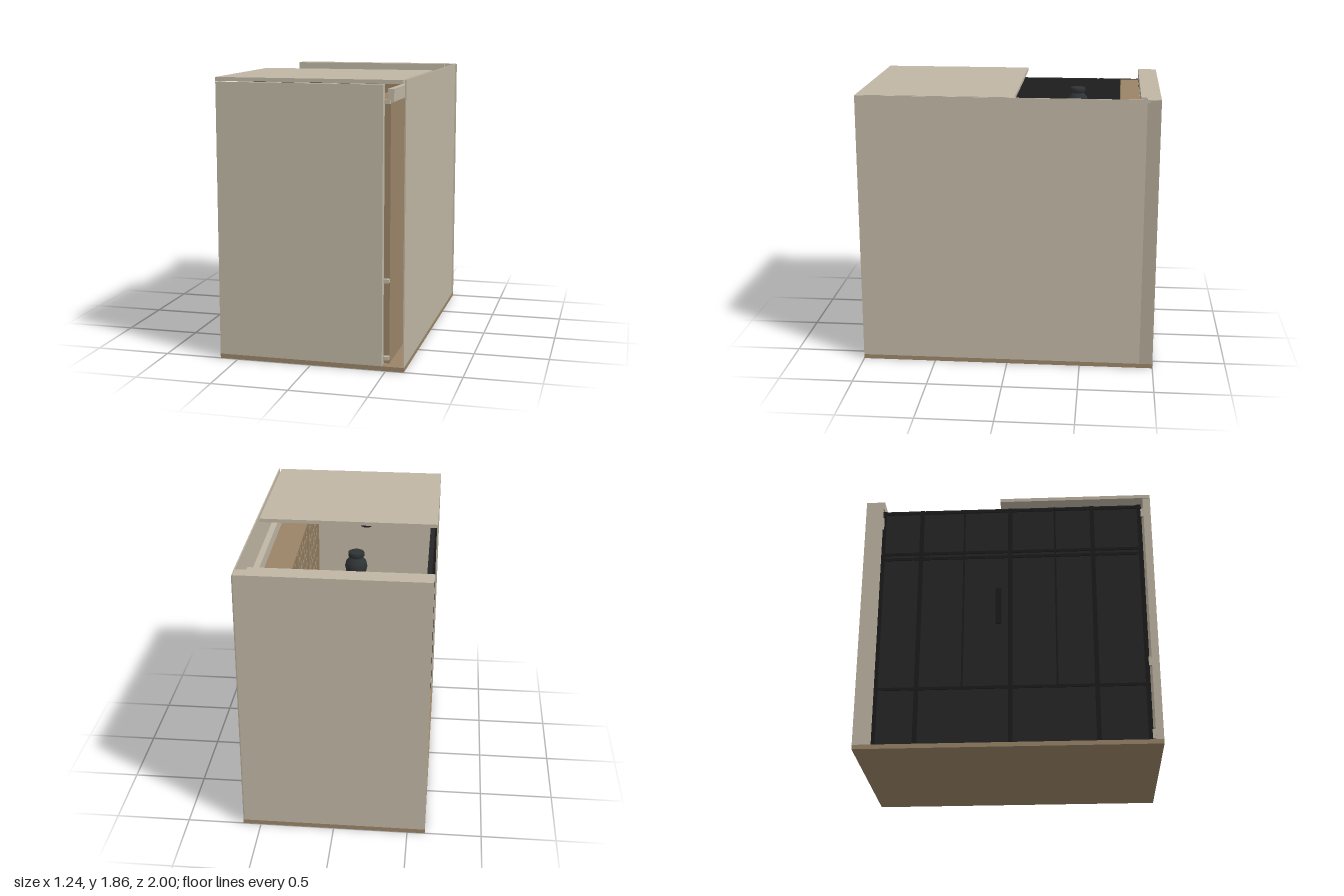
import * as THREE from 'three';
import { mergeGeometries } from 'three/addons/utils/BufferGeometryUtils.js';

const mat = (name, color) => {
  const m = new THREE.MeshStandardMaterial({ color });
  m.name = name;
  return m;
};

export function createModel() {
  const beige = mat('beige plaster', 0xbfb6a4);
  const shade = mat('darker plaster', 0xafa694);
  const wood = mat('brown wood', 0x9a8467);
  const dark = mat('dark panel', 0x262626);
  const black = mat('black trim', 0x1b1b1b);
  const iron = mat('lamp iron', 0x303335);

  const model = new THREE.Group();
  model.name = 'storageRoom';

  // Box geometry given by its minimum and maximum on each axis
  const boxGeo = (x0, x1, y0, y1, z0, z1) =>
    new THREE.BoxGeometry(x1 - x0, y1 - y0, z1 - z0)
      .translate((x0 + x1) / 2, (y0 + y1) / 2, (z0 + z1) / 2);
  const add = (name, geo, material) => {
    const m = new THREE.Mesh(geo, material);
    m.name = name;
    model.add(m);
    return m;
  };
  const box = (name, material, ...r) => add(name, boxGeo(...r), material);

  // Shell: floor, walls and half ceiling
  box('floor', wood, -0.62, 0.62, 0, 0.03, -1, 1);
  box('frontWall', beige, -0.62, 0.475, 0.03, 1.83, 0.95, 1);
  box('ceiling', beige, -0.62, 0.6, 1.835, 1.86, -0.05, 1);
  box('sideWall', beige, 0.612, 0.62, 0.03, 1.86, -0.91, 1);
  box('backWall', beige, -0.62, 0.612, 0.03, 1.86, -1, -0.93);
  box('backCornice', beige, -0.62, 0.54, 1.8, 1.86, -0.93, -0.87);
  box('backRail', beige, -0.62, 0.54, 1.64, 1.73, -0.93, -0.87);
  box('backCornerCap', beige, 0.54, 0.62, 1.84, 1.86, -0.93, -0.91);
  box('backCornerPlate', shade, 0.612, 0.62, 0.03, 1.855, -1, -0.91);
  box('backPost', beige, -0.62, -0.57, 0.03, 1.8, -0.93, -0.88);

  // Panelled dark side
  box('darkSide', dark, -0.6, -0.57, 0.03, 1.79, -0.88, 0.93);
  const bars = [];
  for (const z of [-0.87, -0.6, 0.02, 0.59, 0.92])
    bars.push(boxGeo(-0.606, -0.6, 0.03, 1.79, z - 0.015, z + 0.015));
  for (const z of [-0.3, 0.33])
    bars.push(boxGeo(-0.604, -0.6, 0.42, 1.79, z - 0.006, z + 0.006));
  for (const y of [0.42, 1.4, 1.44, 1.77])
    bars.push(boxGeo(-0.606, -0.6, y - 0.01, y + 0.01, -0.88, 0.93));
  add('sideBars', mergeGeometries(bars), black);
  box('sideHandle', black, -0.615, -0.606, 0.88, 1.15, -0.08, -0.04);

  // Hinges at the front left edge and at the front opening
  for (const y of [0.07, 0.58, 1.72]) {
    box('sideHinge', beige, -0.615, -0.59, y - 0.03, y + 0.03, 0.93, 0.95);
    box('frontHinge', beige, 0.475, 0.51, y - 0.012, y + 0.012, 0.93, 0.96);
  }

  // Bottle rack: back board, shelves, dividers and posts
  const z0 = -0.87, z1 = 0.89, cols = 18, rows = 16;
  const dz = (z1 - z0) / cols, dy = 1.66 / rows;
  const rack = [boxGeo(0.475, 0.51, 0.03, 1.71, -0.87, 0.93)];
  for (let i = 0; i <= rows; i++) {
    const y = 0.04 + i * dy;
    rack.push(boxGeo(0.315, 0.475, y - 0.01, y + 0.01, z0, z1));
  }
  for (let j = 0; j <= cols; j++) {
    const z = z0 + j * dz, w = j % 6 ? 0.008 : 0.016;
    rack.push(boxGeo(j % 6 ? 0.315 : 0.305, 0.475, 0.03, 1.7, z - w, z + w));
  }
  rack.push(boxGeo(0.31, 0.49, 1.7, 1.715, -0.87, 0.91));
  add('bottleRack', mergeGeometries(rack), wood);

  // Bottles lying with their necks toward the room
  const bottles = [];
  for (let i = 0; i < rows; i++)
    for (let j = 0; j < cols; j++)
      bottles.push(new THREE.CylinderGeometry(0.014, 0.03, 0.15, 8)
        .rotateZ(Math.PI / 2)
        .translate(0.395, 0.085 + i * dy, z0 + (j + 0.5) * dz));
  add('bottles', mergeGeometries(bottles), shade);
  box('rackTopRail', beige, 0.49, 0.53, 1.72, 1.8, -0.87, 0.93);

  // Counter and arched niche against the back wall
  box('counterCabinet', wood, -0.57, 0.3, 0.03, 0.72, -0.87, -0.64);
  box('counterTop', beige, -0.57, 0.31, 0.72, 0.76, -0.87, -0.62);
  const arch = new THREE.Shape([[-0.57, 0.76], [0.26, 0.76], [0.26, 1.69], [-0.57, 1.69]]
    .map(p => new THREE.Vector2(...p)));
  const hole = new THREE.Path();
  hole.moveTo(-0.45, 0.78).lineTo(-0.45, 1.5);
  hole.quadraticCurveTo(-0.155, 1.76, 0.14, 1.5);
  hole.lineTo(0.14, 0.78).closePath();
  arch.holes.push(hole);
  add('nicheArch', new THREE.ExtrudeGeometry(arch, { depth: 0.07, bevelEnabled: false, curveSegments: 14 })
    .translate(0, 0, -0.85), wood);
  for (const x of [-0.53, 0.19])
    box('nicheColumn', wood, x - 0.04, x + 0.04, 0.76, 1.69, -0.78, -0.75);
  box('nicheCrown', wood, -0.57, 0.26, 1.69, 1.79, -0.87, -0.74);

  // Round hanging lamps
  const lampPoints = [[0, -0.075], [0.04, -0.064], [0.065, -0.037], [0.073, 0], [0.065, 0.035],
    [0.042, 0.058], [0.042, 0.066], [0.052, 0.07], [0.052, 0.095], [0.045, 0.1], [0, 0.1]];
  const lampGeo = new THREE.LatheGeometry(lampPoints.map(p => new THREE.Vector2(...p)), 24);
  for (const z of [-0.44, 0.43])
    add('lamp', lampGeo, iron).position.set(-0.1, 1.71, z);

  return model;
}
